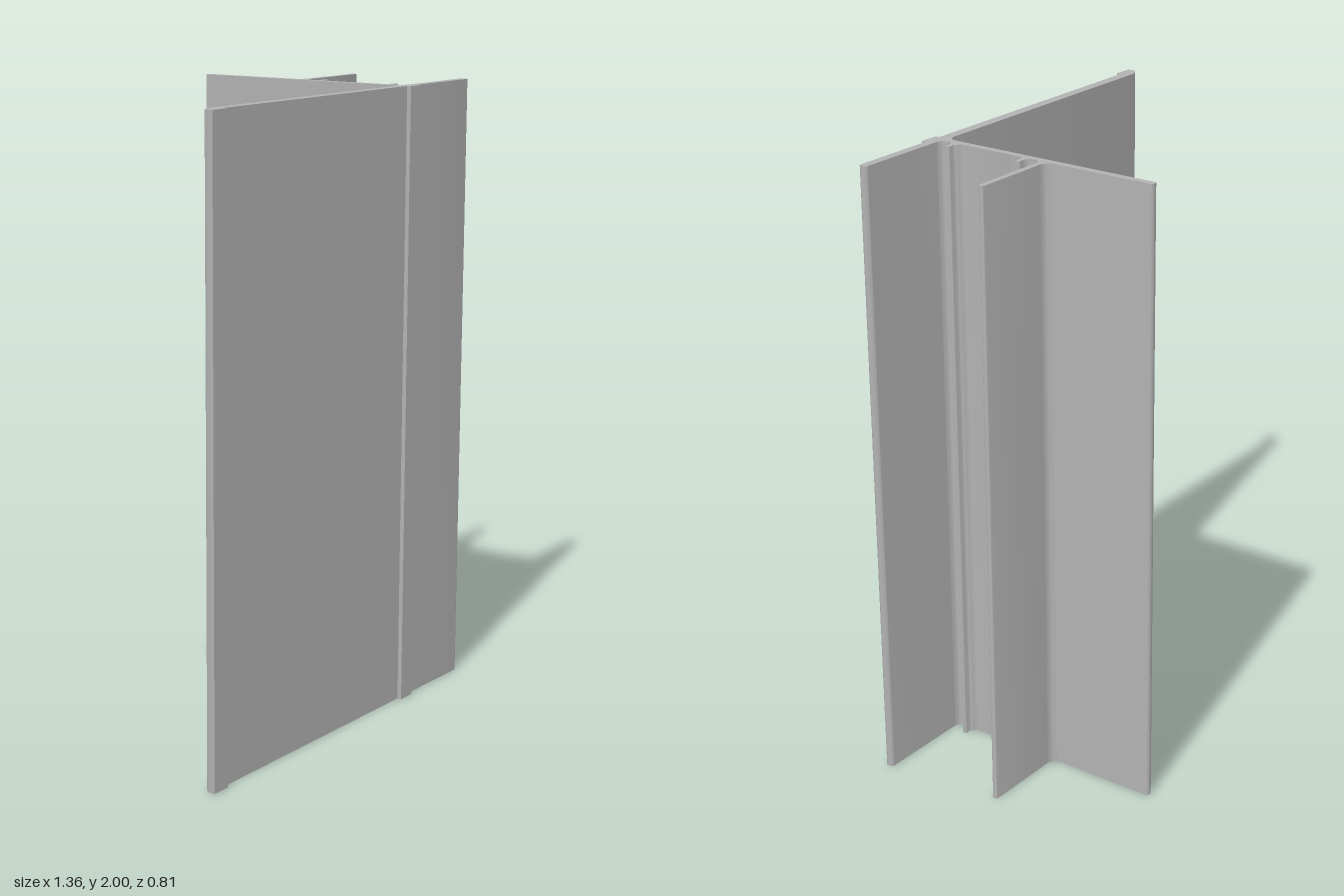
import * as THREE from 'three';
import { toCreasedNormals } from 'three/addons/utils/BufferGeometryUtils.js';

// Closed shape from [x, z, cornerRadius] points; z is flipped so the extrusion can be stood upright
function roundedOutline(corners) {
  const shape = new THREE.Shape();
  const pts = corners.map(([x, z]) => new THREE.Vector2(x, -z));
  const n = pts.length;
  corners.forEach(([, , r = 0], i) => {
    const p = pts[i];
    const toward = (q, d) => p.clone().add(q.clone().sub(p).setLength(d));
    const prev = pts[(i + n - 1) % n], next = pts[(i + 1) % n];
    const a = r ? toward(prev, r) : p;
    if (i === 0) shape.moveTo(a.x, a.y);
    else shape.lineTo(a.x, a.y);
    if (r) {
      const b = toward(next, r);
      const c1 = toward(prev, r * 0.448), c2 = toward(next, r * 0.448);
      shape.bezierCurveTo(c1.x, c1.y, c2.x, c2.y, b.x, b.y);
    }
  });
  shape.closePath();
  return shape;
}

export function createModel() {
  const group = new THREE.Group();
  group.name = 'extrudedProfile';
  const aluminium = new THREE.MeshStandardMaterial({ color: 0xb2b2b2 });
  aluminium.name = 'aluminium grey';

  const outline = roundedOutline([
    // front face with its two raised pads
    [-0.682, 0.402], [-0.618, 0.402], [-0.618, 0.388],
    [0.317, 0.388], [0.317, 0.402], [0.38, 0.402], [0.38, 0.388],
    // short front flange with rounded tip
    [0.68, 0.388, 0.011], [0.68, 0.36, 0.011],
    // front pocket and hook
    [0.34, 0.36, 0.023], [0.34, 0.312, 0.023],
    [0.38, 0.312, 0.003], [0.38, 0.298, 0.003],
    [0.355, 0.298, 0.004], [0.353, 0.291, 0.004], [0.34, 0.286, 0.008],
    // web, with a slight thickening towards the rear hook
    [0.34, 0.1], [0.341, 0.098], [0.341, 0.052, 0.014],
    // rear hook and pocket
    [0.38, 0.052, 0.003], [0.38, 0.036, 0.003],
    [0.34, 0.036, 0.022], [0.34, -0.012, 0.022],
    // rear flange with rounded tip
    [0.632, -0.012, 0.007], [0.632, -0.031, 0.007],
    [0.34, -0.031, 0.032],
    // free end of the web
    [0.34, -0.404, 0.008], [0.317, -0.404, 0.008],
    // inner fillet, back of the long flange and its bevelled end
    [0.317, 0.355, 0.032], [-0.65, 0.355, 0.008], [-0.682, 0.374, 0.004],
  ]);

  const flat = new THREE.ExtrudeGeometry(outline, { depth: 2, bevelEnabled: false, curveSegments: 6 });
  flat.rotateX(-Math.PI / 2);
  const profile = new THREE.Mesh(toCreasedNormals(flat, 0.6), aluminium);
  profile.name = 'profileBar';
  group.add(profile);
  return group;
}
